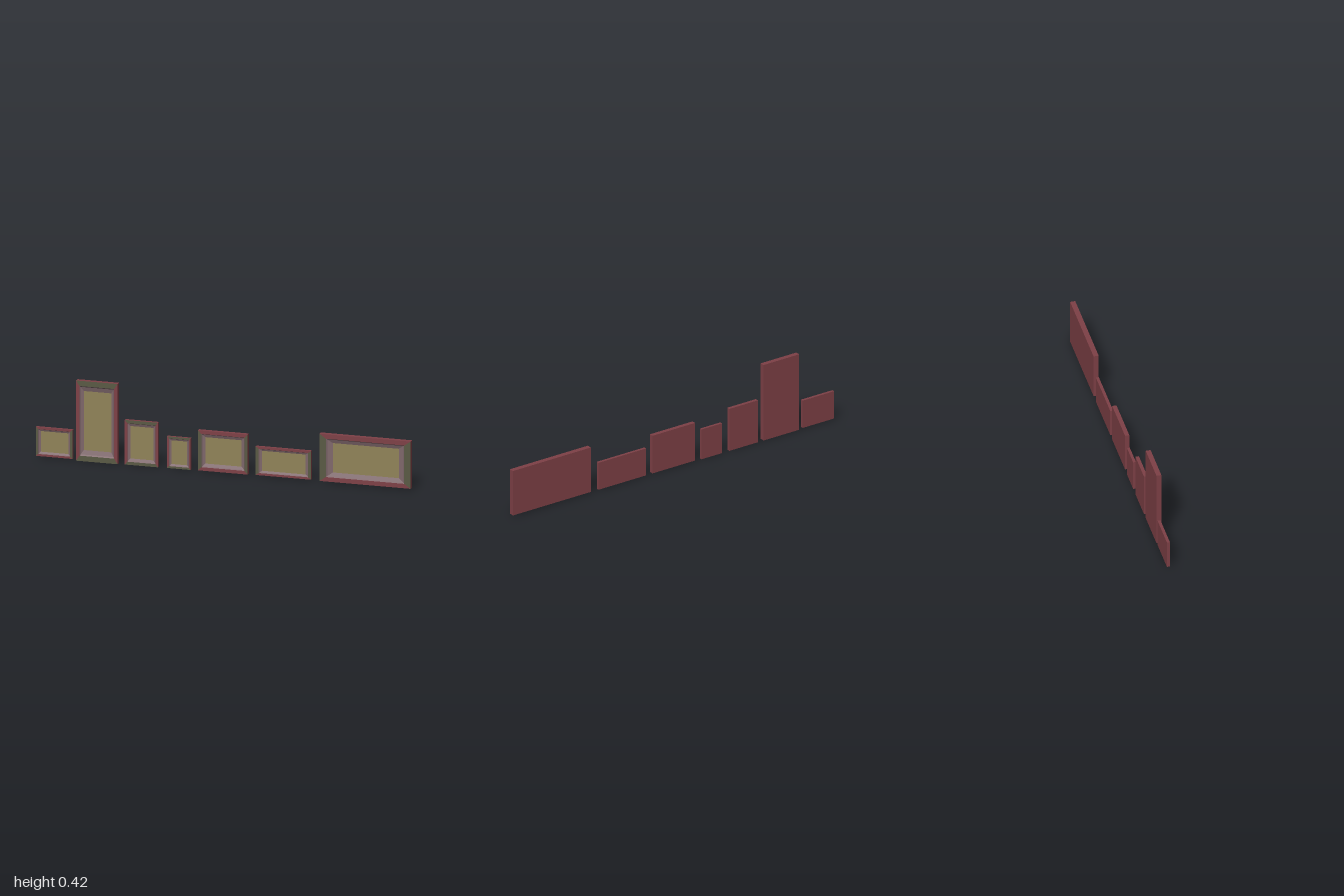
import * as THREE from 'three';

const BACK = -0.0135;
const paint = (color) => new THREE.MeshStandardMaterial({ color, flatShading: true });

// Each frame: left, right, bottom, top, front z, side border, top/bottom border
const FRAMES = [
  [-1.0, -0.805, 0.004, 0.157, 0.002, 0.024, 0.022],
  [-0.783, -0.561, 0.0, 0.423, 0.0122, 0.038, 0.056],
  [-0.526, -0.348, 0.0, 0.235, 0.005, 0.028, 0.032],
  [-0.302, -0.175, 0.0, 0.167, 0.001, 0.021, 0.021],
  [-0.134, 0.131, 0.004, 0.215, 0.009, 0.036, 0.036],
  [0.171, 0.467, 0.004, 0.155, 0.002, 0.032, 0.023],
  [0.515, 1.0, 0.005, 0.254, 0.0135, 0.067, 0.047],
];

export function createModel() {
  const group = new THREE.Group();
  group.name = 'pictureFrames';
  const red = paint(0x7e4046), green = paint(0x5a5a44);
  const grey = paint(0x80686c), canvas = paint(0x908358);

  FRAMES.forEach(([x0, x1, y0, y1, front, bx, by], n) => {
    const frame = new THREE.Group();
    frame.name = `pictureFrame${n + 1}`;
    group.add(frame);

    // Rectangle inset by a share t of the border, at a share d of the depth
    const ring = ([t, d]) => {
      const z = BACK + (front - BACK) * d, ix = bx * t, iy = by * t;
      return [[x0 + ix, y0 + iy, z], [x1 - ix, y0 + iy, z], [x1 - ix, y1 - iy, z], [x0 + ix, y1 - iy, z]];
    };
    const addQuads = (name, quads, material) => {
      const geometry = new THREE.BufferGeometry();
      const points = quads.flatMap(([a, b, c, d]) => [a, b, c, a, c, d]).flat();
      geometry.setAttribute('position', new THREE.Float32BufferAttribute(points, 3));
      geometry.computeVertexNormals();
      const mesh = new THREE.Mesh(geometry, material);
      mesh.name = name;
      frame.add(mesh);
    };
    // Mitred strip between two rings, for the chosen sides (bottom, right, top, left)
    const strip = (from, to, sides) => {
      const a = ring(from), b = ring(to);
      return sides.map((i) => [a[i], a[(i + 1) % 4], b[(i + 1) % 4], b[i]]);
    };

    const all = [0, 1, 2, 3];
    const wide = x1 - x0 > y1 - y0;
    const longSides = wide ? [0, 2] : [1, 3];
    const shortSides = wide ? [1, 3] : [0, 2];

    // Outer walls and flat back
    addQuads('frameBody', [...strip([0, 0], [0, 1], all), ring([0, 0]).reverse()], red);
    // Flat front moulding
    addQuads('longRails', strip([0, 1], [0.5, 1], longSides), red);
    addQuads('shortRails', strip([0, 1], [0.5, 1], shortSides), green);
    // Bevel sloping in to the picture
    addQuads('innerBevel', [...strip([0.5, 1], [0.6, 0.75], all), ...strip([0.6, 0.75], [1, 0.5], all)], grey);
    // Recessed picture
    addQuads('picture', [ring([1, 0.5])], canvas);
  });
  return group;
}
